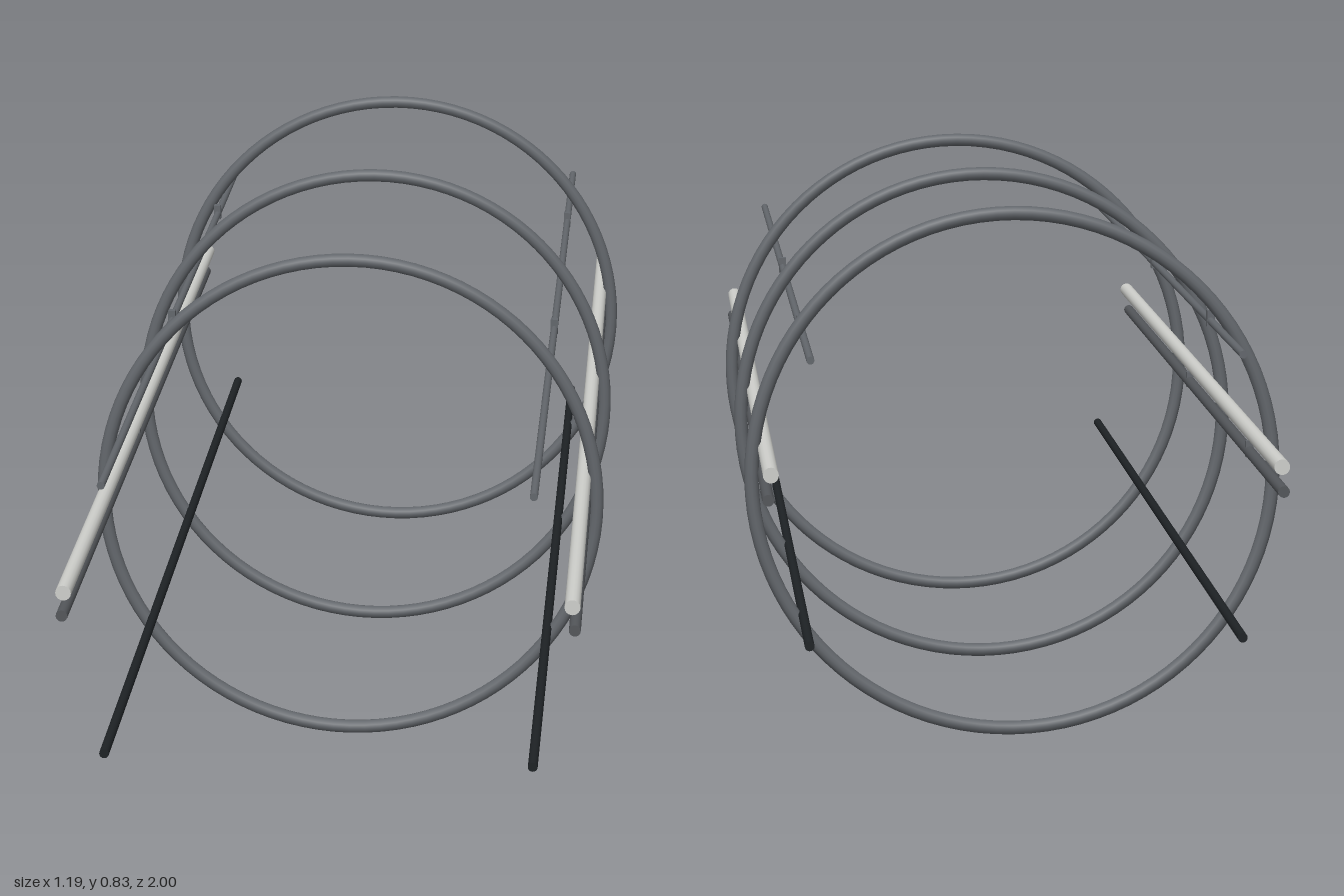
import * as THREE from 'three';

export function createModel() {
  const model = new THREE.Group();
  model.name = 'hoopFrame';

  const mat = (name, color) => {
    const m = new THREE.MeshStandardMaterial({ color });
    m.name = name;
    return m;
  };
  const silver = mat('silver', 0xcfd0cc);
  const steel = mat('steelGrey', 0x63676c);
  const darkGrey = mat('darkGrey', 0x54575b);
  const black = mat('black', 0x1e2225);

  // everything is built along local z, then turned about the vertical
  const frame = new THREE.Group();
  frame.name = 'frame';
  frame.rotation.y = -0.227;
  model.add(frame);

  const add = (name, geometry, material, x, y, z) => {
    const mesh = new THREE.Mesh(geometry, material);
    mesh.name = name;
    mesh.position.set(x, y, z);
    frame.add(mesh);
  };

  // three upright hoops
  const hoop = new THREE.TorusGeometry(0.405, 0.011, 12, 96);
  for (const z of [0.347, -0.184, -0.714]) add('hoop', hoop, steel, 0, 0.416, z);

  // lengthwise rods, mirrored left and right
  const rod = (r, length) => new THREE.CylinderGeometry(r, r, length, 16).rotateX(Math.PI / 2);
  const rods = [
    ['mainRail', rod(0.012, 1.874), silver, 0.383, 0.461],
    ['lowerRail', rod(0.009, 1.864), darkGrey, 0.387, 0.422],
    ['upperRod', rod(0.006, 1.864), steel, 0.323, 0.632],
    ['bottomRod', rod(0.0075, 1.864), black, 0.327, 0.199],
  ];
  // small clips on the upper rods and lower rails
  const clip = new THREE.BoxGeometry(0.012, 0.026, 0.012);
  for (const side of [-1, 1]) {
    for (const [name, geometry, material, x, y] of rods) add(name, geometry, material, side * x, y, 0);
    for (const z of [0.079, -0.593]) {
      add('upperClip', clip, steel, side * 0.323, 0.636, z);
      add('railClip', clip, steel, side * 0.387, 0.426, z);
    }
  }
  return model;
}
